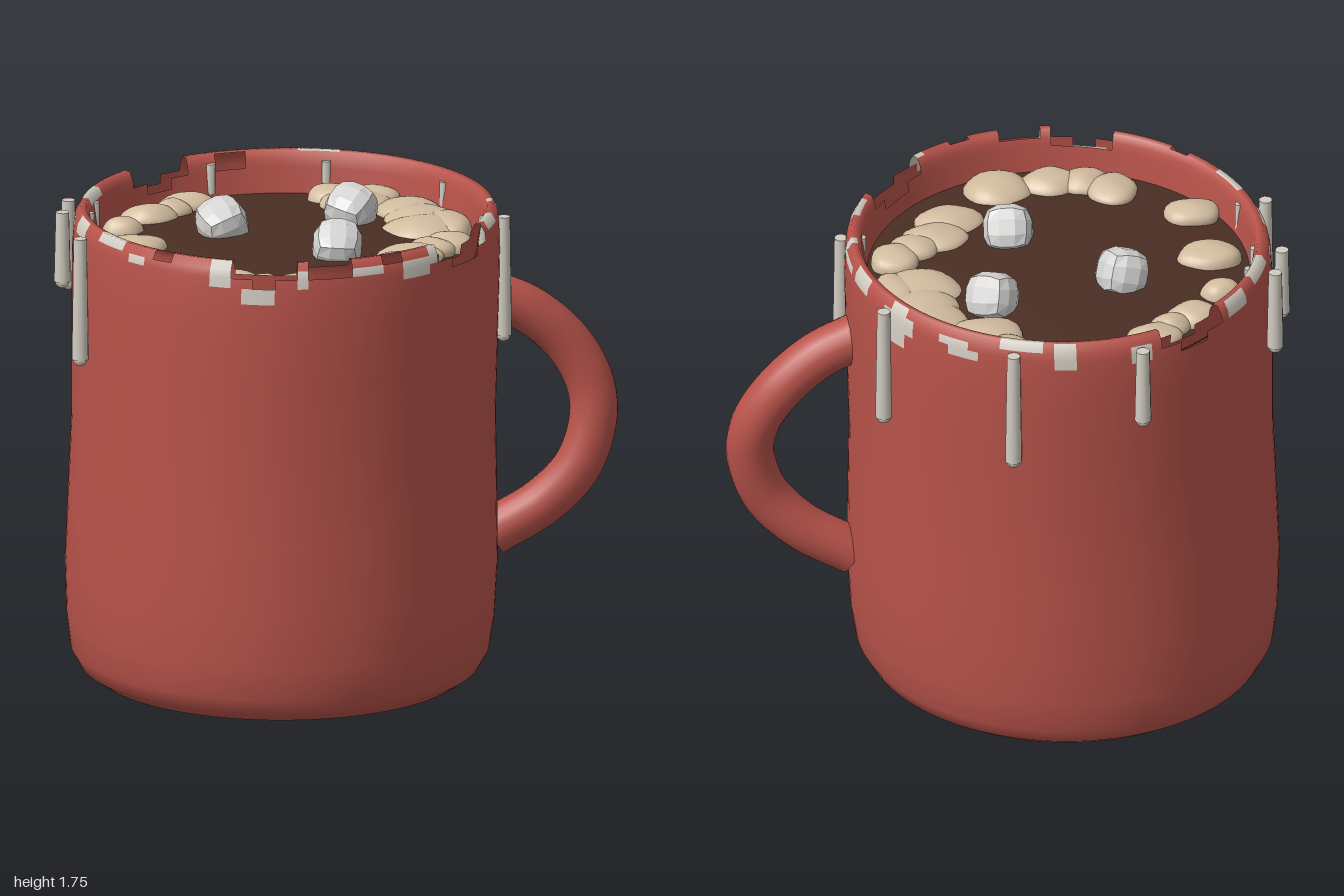
import * as THREE from 'three';
import { mergeVertices } from 'three/addons/utils/BufferGeometryUtils.js';

const mat = (name, color, extra = {}) => {
  const m = new THREE.MeshStandardMaterial({ color, ...extra });
  m.name = name;
  return m;
};

const CX = -0.2; // the cup sits left of centre to balance the handle

// Cup wall profile [radius, height]: underside, outside, rim, inside
const PROFILE = [
  [0, 0.005], [0.4, 0.008], [0.58, 0.015], [0.66, 0.035], [0.71, 0.07], [0.742, 0.13], [0.757, 0.25],
  [0.765, 0.45], [0.76, 0.7], [0.755, 1.0], [0.762, 1.3], [0.765, 1.5], [0.765, 1.6], [0.762, 1.655],
  [0.76, 1.69], [0.755, 1.72], [0.737, 1.75], [0.715, 1.747], [0.702, 1.72], [0.697, 1.69],
  [0.692, 1.65], [0.682, 1.58], [0.67, 1.48],
];

// Missing rim cells: [from degree, to degree, first row, last row]
const CHIPS = [
  [30, 54, 14, 18], [36, 48, 13, 19], [81, 93, 14, 17], [96, 114, 14, 18], [102, 108, 13, 18],
  [228, 249, 14, 18], [234, 243, 13, 19], [258, 267, 17, 18], [132, 138, 15, 16], [66, 72, 15, 16],
];
// Frosted rim cells, same layout
const FROST = [
  [354, 366, 14, 14], [3, 6, 15, 16], [342, 351, 14, 15], [321, 333, 13, 14], [324, 330, 12, 15],
  [300, 309, 13, 13], [303, 312, 14, 14], [282, 294, 15, 16], [273, 279, 13, 15], [252, 258, 13, 14],
  [216, 225, 14, 15], [198, 210, 15, 17], [186, 192, 13, 14], [171, 180, 14, 15], [150, 162, 15, 16],
  [141, 147, 14, 14], [114, 120, 13, 15], [93, 96, 13, 14], [72, 81, 14, 14], [57, 66, 13, 14],
  [54, 57, 14, 16], [18, 27, 15, 16], [102, 111, 12, 12],
];

function cupGeometry() {
  const cols = 120, step = 360 / cols, pos = [], all = [], red = [], white = [];
  PROFILE.forEach(([r, y]) => {
    for (let j = 0; j < cols; j++) {
      const a = (j / cols) * Math.PI * 2;
      const rr = r * (1 + 0.006 * Math.sin(2 * a + y * 3));
      pos.push(CX + 0.015 * (y - 0.9) + rr * Math.cos(a), y + 0.006 * Math.sin(a + 1) * (y > 1.6 ? 1 : 0), 0.01 + rr * Math.sin(a));
    }
  });
  const hit = (list, row, deg) => list.some(([a, b, r0, r1]) =>
    row >= r0 && row <= r1 && ((deg >= a && deg < b) || (deg + 360 >= a && deg + 360 < b)));
  for (let i = 0; i < PROFILE.length - 1; i++) {
    for (let j = 0; j < cols; j++) {
      const k = (j + 1) % cols;
      const a = i * cols + j, b = a + cols, c = (i + 1) * cols + k, d = i * cols + k;
      const cell = [a, b, c, a, c, d];
      all.push(...cell);
      if (hit(CHIPS, i, j * step)) continue;
      (hit(FROST, i, j * step) ? white : red).push(...cell);
    }
  }
  const g = new THREE.BufferGeometry();
  g.setAttribute('position', new THREE.Float32BufferAttribute(pos, 3));
  g.setIndex(all);
  g.computeVertexNormals(); // smooth over the unbroken wall
  g.setIndex([...red, ...white]);
  g.addGroup(0, red.length, 0);
  g.addGroup(red.length, white.length, 1);
  return g;
}

// Cube with its corners pulled toward a sphere
function marshmallowGeometry(r) {
  const g = new THREE.BoxGeometry(2, 2, 2, 3, 3, 3);
  const p = g.attributes.position, v = new THREE.Vector3();
  for (let i = 0; i < p.count; i++) {
    v.fromBufferAttribute(p, i).multiplyScalar(1);
    const s = v.clone().normalize();
    v.lerp(s, 0.85).multiplyScalar(r * 0.96);
    p.setXYZ(i, v.x, v.y, v.z);
  }
  return g;
}

// Lumpy flattened foam blob
function blobGeometry(rx, ry, rz, seed) {
  let g = new THREE.SphereGeometry(1, 24, 16);
  g.deleteAttribute('normal');
  g.deleteAttribute('uv');
  g = mergeVertices(g);
  const p = g.attributes.position;
  for (let i = 0; i < p.count; i++) {
    const x = p.getX(i), y = p.getY(i), z = p.getZ(i);
    const s = 1 + 0.05 * Math.sin(4 * x + seed) * Math.cos(4 * z + seed * 2) + 0.03 * Math.sin(5 * y + seed);
    p.setXYZ(i, x * s * rx, y * s * ry, z * s * rz);
  }
  g.computeVertexNormals();
  return g;
}

export function createModel() {
  const model = new THREE.Group();
  const red = mat('red glaze', 0xb8534a, { side: THREE.DoubleSide });
  const frost = mat('frost white', 0xd2cdc2, { side: THREE.DoubleSide });
  const cocoa = mat('cocoa brown', 0x4a2e23);
  const cream = mat('foam cream', 0xd2bc9f);
  const white = mat('marshmallow white', 0xd4d3d2, { flatShading: true });

  const add = (name, geo, material, x = 0, y = 0, z = 0, parent = model) => {
    const m = new THREE.Mesh(geo, material);
    m.name = name;
    m.position.set(x, y, z);
    parent.add(m);
    return m;
  };
  const group = (name) => {
    const g = new THREE.Group();
    g.name = name;
    model.add(g);
    return g;
  };

  add('cup', cupGeometry(), [red, frost]);

  // Handle: bent tube with flat ends
  const path = new THREE.CatmullRomCurve3([
    [0.53, 1.395, 0.005], [0.68, 1.325, 0], [0.82, 1.2, -0.005], [0.9, 1.06, 0.005],
    [0.915, 0.93, 0.02], [0.86, 0.755, 0.03], [0.74, 0.62, 0.015], [0.55, 0.505, 0],
  ].map((p) => new THREE.Vector3(...p)));
  const handle = group('handle');
  add('handleTube', new THREE.TubeGeometry(path, 48, 0.086, 20), red, 0, 0, 0, handle);
  [0, 1].forEach((t) => {
    const p = path.getPoint(t), dir = path.getTangent(t);
    const cap = add('handleEnd', new THREE.CircleGeometry(0.086, 20), red, p.x, p.y, p.z, handle);
    cap.quaternion.setFromUnitVectors(new THREE.Vector3(0, 0, 1), t ? dir : dir.negate());
  });

  // Drink: slightly domed disc
  add('drink', new THREE.LatheGeometry(
    [[0.69, 1.595], [0.55, 1.608], [0.35, 1.62], [0.15, 1.627], [0, 1.628]].map((p) => new THREE.Vector2(...p)), 64),
    cocoa, CX + 0.01, 0, 0.01);

  // Foam along the edge: [x, z, radius x, radius z]
  const foam = group('foam');
  [
    [-0.46, -0.51, 0.1, 0.075], [-0.53, -0.44, 0.07, 0.06], [-0.62, -0.38, 0.1, 0.075],
    [-0.74, -0.235, 0.075, 0.058], [-0.73, 0.01, 0.12, 0.088], [-0.71, 0.305, 0.105, 0.078],
    [-0.45, 0.5, 0.09, 0.1], [-0.36, 0.57, 0.09, 0.08], [-0.24, 0.585, 0.11, 0.085],
    [-0.05, 0.57, 0.12, 0.11], [0.06, -0.53, 0.09, 0.085], [0.13, -0.42, 0.14, 0.11],
    [0.21, -0.49, 0.09, 0.09], [0.3, -0.31, 0.12, 0.12], [0.33, -0.2, 0.13, 0.13],
    [0.32, -0.07, 0.15, 0.13], [0.41, -0.1, 0.085, 0.14], [0.38, 0.14, 0.09, 0.09],
    [0.3, 0.2, 0.09, 0.08], [0.22, 0.26, 0.12, 0.09], [0.15, 0.37, 0.12, 0.095],
  ].forEach(([x, z, rx, rz], i) => add('foamBlob', blobGeometry(rx, 0.05, rz, i), cream, x, 1.61, z, foam));

  // Floating marshmallows
  [[-0.4, -0.12, 0.3], [0.08, -0.22, 0.9], [-0.04, 0.23, 1.4]].forEach(([x, z, turn]) => {
    const m = add('marshmallow', marshmallowGeometry(0.098), white, x, 1.655, z);
    m.rotation.set(0.35, turn, 0.25);
  });

  // Icicle drips on the outside, each with a thin streak inside: [x, z, bottom]
  const drips = group('drips');
  [
    [-0.385, -0.76, 1.43], [0.075, -0.73, 1.28], [0.49, -0.365, 1.28], [0.57, 0.155, 1.28],
    [-0.925, -0.295, 1.41], [-0.97, -0.145, 1.46], [-0.96, 0.2, 1.27],
  ].forEach(([x, z, bottom]) => {
    const h = 1.715 - bottom;
    add('drip', new THREE.CylinderGeometry(0.024, 0.03, h, 12), frost, x, bottom + h / 2, z, drips);
    add('dripTip', new THREE.SphereGeometry(0.026, 12, 8), frost, x, bottom, z, drips);
    const d = new THREE.Vector2(x - CX, z).setLength(0.699);
    add('innerStreak', new THREE.CylinderGeometry(0.016, 0.016, 0.11, 8), frost, CX + 0.012 + d.x, 1.66, 0.01 + d.y, drips);
  });

  return model;
}
